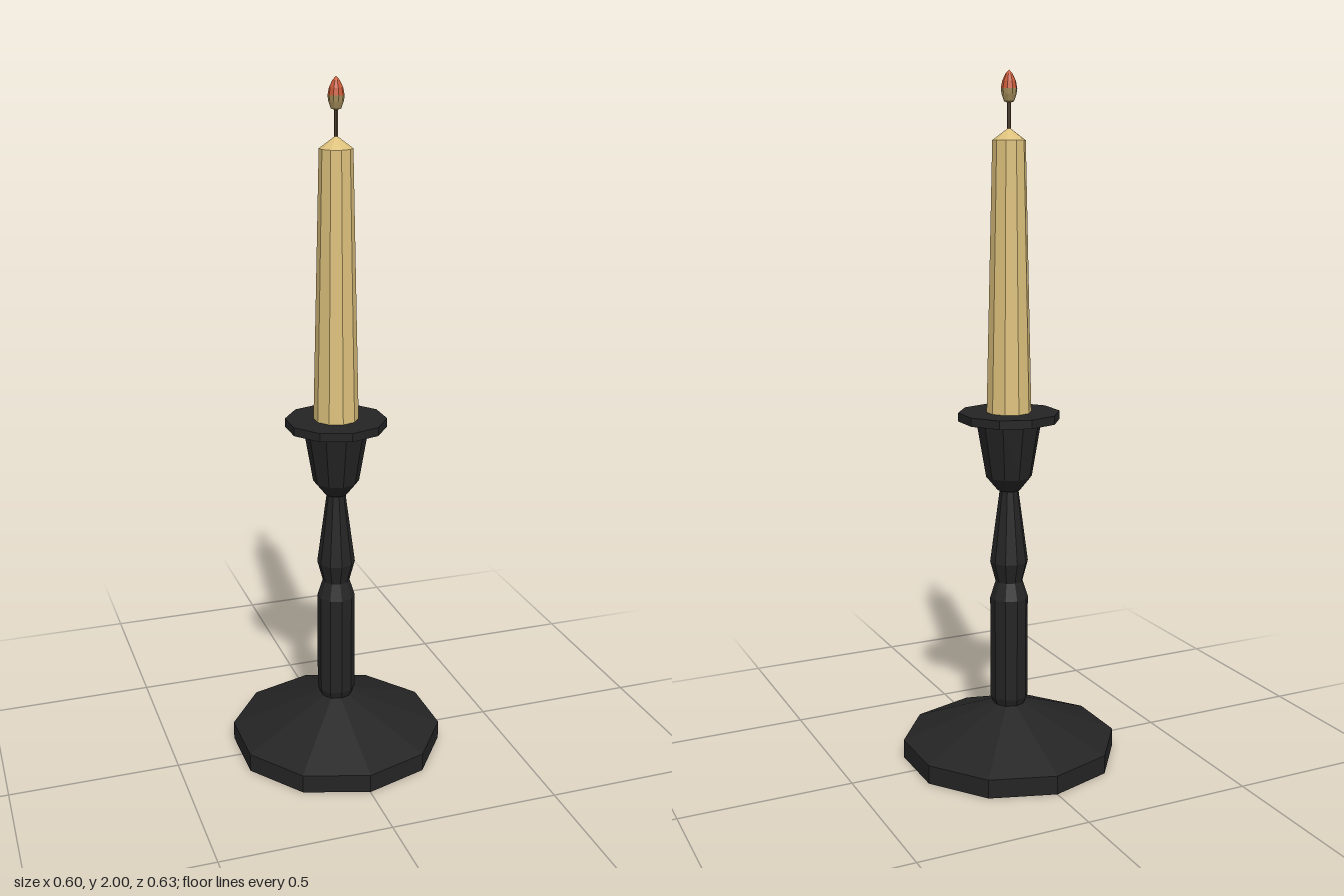
import * as THREE from 'three';

const SIDES = 10;

const material = (name, color) => {
  const m = new THREE.MeshStandardMaterial({ color, flatShading: true });
  m.name = name;
  return m;
};

// Faceted turned part from [radius, height] pairs, listed bottom to top
function turned(name, mat, profile, sides = SIDES) {
  const points = profile.map(([r, y]) => new THREE.Vector2(r, y));
  const mesh = new THREE.Mesh(new THREE.LatheGeometry(points, sides), mat);
  mesh.name = name;
  return mesh;
}

export function createModel() {
  const iron = material('black iron', 0x242424);
  const wax = material('cream wax', 0xdcc07c);
  const wickBrown = material('wick brown', 0x5a4a34);
  const flameOrange = material('flame orange', 0xc85a38);
  const flameTan = material('flame tan', 0xa8905c);

  const holder = new THREE.Group();
  holder.name = 'candlestick';
  holder.add(
    // Wide foot with sloping top
    turned('base', iron, [[0, 0], [0.317, 0], [0.317, 0.055], [0.045, 0.165], [0, 0.165]]),
    // Column, pinched neck and tapering upper stem
    turned('stem', iron, [
      [0.045, 0.155], [0.056, 0.185], [0.056, 0.49], [0.04, 0.54],
      [0.056, 0.6], [0.028, 0.81], [0.028, 0.83],
    ]),
    // Flared socket
    turned('cup', iron, [[0, 0.815], [0.034, 0.815], [0.067, 0.855], [0.095, 1.02]]),
    // Flat drip plate
    turned('dripPlate', iron, [[0, 1.02], [0.147, 1.02], [0.147, 1.045], [0, 1.045]]),
  );

  const candle = new THREE.Group();
  candle.name = 'candle';
  candle.add(
    turned('waxBody', wax, [[0.065, 1.04], [0.047, 1.81], [0, 1.845]]),
    turned('wick', wickBrown, [[0.005, 1.83], [0.005, 1.92]], 6),
    // Flame: pale lower bulb and orange tip
    turned('flameBase', flameTan, [[0, 1.91], [0.014, 1.915], [0.021, 1.935], [0.023, 1.95]]),
    turned('flameTip', flameOrange, [[0.023, 1.95], [0.019, 1.97], [0.01, 1.989], [0, 2]]),
  );

  const model = new THREE.Group();
  model.name = 'candleInHolder';
  model.add(holder, candle);
  return model;
}
